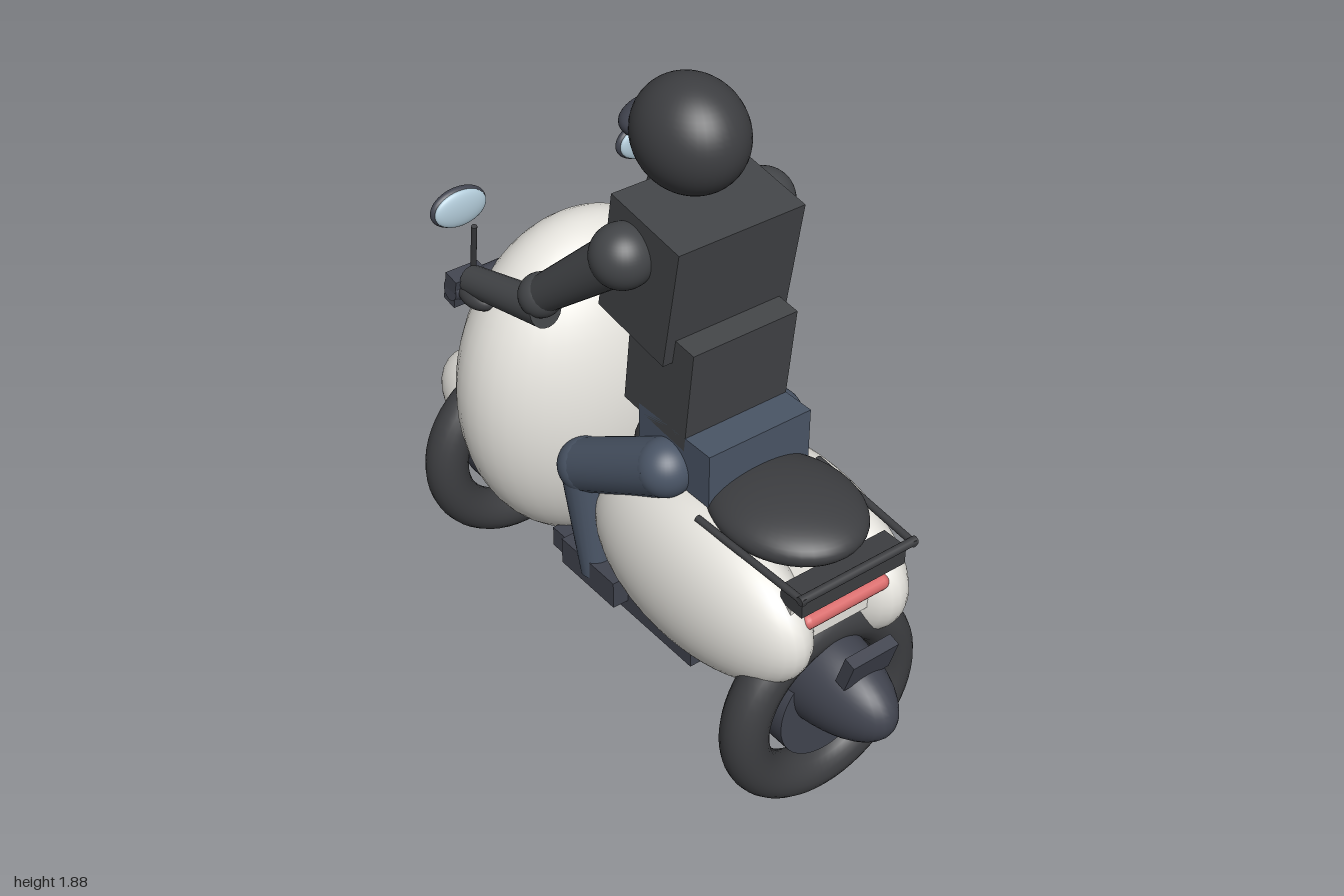
import * as THREE from 'three';

export function createModel() {
  const root = new THREE.Group();
  const mat = (color, side = THREE.FrontSide) => new THREE.MeshStandardMaterial({ color, side });
  const cream = mat(0xe6e4de), black = mat(0x3d3e41), steel = mat(0x41444f),
    denim = mat(0x4a5566), jacket = mat(0x434548), glass = mat(0xb4cddb), red = mat(0xd96b6b);

  const add = (name, geo, material, p, rotX = 0) => {
    const m = new THREE.Mesh(geo, material);
    m.name = name;
    m.position.set(...p);
    m.rotation.x = rotX;
    root.add(m);
    return m;
  };
  const blob = (name, material, p, r, rotX = 0) =>
    add(name, new THREE.SphereGeometry(1, 40, 28).scale(...r), material, p, rotX);
  const box = (name, material, p, s, rotX = 0) =>
    add(name, new THREE.BoxGeometry(...s), material, p, rotX);
  // Tapered rod between two points
  const rod = (name, material, a, b, ra, rb = ra) => {
    const A = new THREE.Vector3(...a), B = new THREE.Vector3(...b);
    const d = B.clone().sub(A);
    const m = add(name, new THREE.CylinderGeometry(rb, ra, d.length(), 20), material,
      A.clone().add(B).multiplyScalar(0.5).toArray());
    m.quaternion.setFromUnitVectors(new THREE.Vector3(0, 1, 0), d.normalize());
    return m;
  };

  // Wheels, turned across the body
  for (const [name, z] of [['rear', 0.725], ['front', -0.672]]) {
    add(name + 'Tire', new THREE.TorusGeometry(0.25, 0.065, 20, 56), black, [0, 0.315, z]);
    add(name + 'Hub', new THREE.CylinderGeometry(0.16, 0.16, 0.08, 40), steel, [0, 0.315, z], Math.PI / 2);
  }

  // Body shells
  blob('legShield', cream, [0, 0.785, -0.29], [0.397, 0.505, 0.28]);
  blob('shieldNose', cream, [0, 0.7, -0.42], [0.2, 0.3, 0.235]);
  blob('frontFender', cream, [0, 0.41, -0.69], [0.155, 0.155, 0.31]);
  blob('rearFender', steel, [0, 0.41, 0.69], [0.125, 0.15, 0.31]);
  box('tailPanel', cream, [0, 0.68, 0.62], [0.34, 0.13, 0.34]);
  box('floorboard', steel, [0, 0.345, 0.125], [0.4, 0.065, 0.63]);
  box('centreTunnel', steel, [0, 0.47, 0.1], [0.24, 0.2, 0.5]);

  // Seat, rack and tail
  blob('rearSeat', black, [0, 0.845, 0.57], [0.19, 0.075, 0.23]);
  blob('frontSeat', black, [0, 0.79, 0.32], [0.17, 0.11, 0.32]);
  box('rackPlate', black, [0, 0.775, 0.79], [0.34, 0.055, 0.08]);
  rod('rackCrossBar', black, [-0.19, 0.82, 0.84], [0.19, 0.82, 0.84], 0.012);
  const light = add('tailLight', new THREE.CapsuleGeometry(0.022, 0.24, 6, 16), red, [0, 0.692, 0.8]);
  light.rotation.z = Math.PI / 2;
  box('plateHolder', steel, [0, 0.555, 0.895], [0.15, 0.1, 0.035], 0.3);

  // Rider torso and head
  box('hips', denim, [0, 0.93, 0.315], [0.33, 0.16, 0.29]);
  box('abdomen', jacket, [0, 1.135, 0.25], [0.33, 0.31, 0.25], 0.11);
  box('chest', jacket, [0, 1.41, 0.205], [0.39, 0.355, 0.27], 0.17);
  rod('neck', black, [0, 1.54, 0.15], [0, 1.65, 0.12], 0.06);
  blob('helmet', black, [0, 1.733, 0.16], [0.14, 0.15, 0.165]);
  blob('visor', steel, [0, 1.73, 0.035], [0.11, 0.052, 0.075]);

  // Mirrored parts
  for (const s of [-1, 1]) {
    blob('sidePanel', cream, [s * 0.16, 0.61, 0.425], [0.15, 0.235, 0.415], -0.04);
    rod('fork', steel, [s * 0.09, 0.315, -0.63], [s * 0.09, 0.67, -0.68], 0.024);
    rod('rackSideBar', black, [s * 0.2, 0.835, 0.46], [s * 0.18, 0.818, 0.85], 0.01);

    // Steering
    rod('handlebar', steel, [s * 0.12, 1.1, -0.42], [s * 0.35, 1.12, -0.42], 0.05, 0.03);
    box('controlHousing', steel, [s * 0.3, 1.12, -0.42], [0.1, 0.09, 0.05], 0.2);
    rod('mirrorStalk', black, [s * 0.28, 1.16, -0.41], [s * 0.3, 1.33, -0.36], 0.008);
    blob('mirrorShell', steel, [s * 0.3, 1.355, -0.435], [0.085, 0.057, 0.026]);
    blob('mirrorGlass', glass, [s * 0.3, 1.355, -0.422], [0.079, 0.052, 0.017]);

    // Arm
    const shoulder = [s * 0.22, 1.48, 0.18], elbow = [s * 0.28, 1.25, -0.09], hand = [s * 0.295, 1.145, -0.39];
    blob('shoulder', jacket, shoulder, [0.085, 0.085, 0.085]);
    rod('upperArm', jacket, shoulder, elbow, 0.07, 0.05);
    blob('elbow', jacket, elbow, [0.06, 0.06, 0.06]);
    rod('forearm', jacket, [s * 0.28, 1.215, -0.07], hand, 0.05, 0.042);
    blob('hand', black, [s * 0.3, 1.118, -0.36], [0.045, 0.035, 0.07]);

    // Leg
    const hip = [s * 0.18, 0.89, 0.3], knee = [s * 0.21, 0.72, -0.01], ankle = [s * 0.21, 0.38, 0.035];
    blob('hipJoint', denim, hip, [0.08, 0.08, 0.08]);
    rod('thigh', denim, hip, knee, 0.08, 0.075);
    blob('knee', denim, knee, [0.077, 0.077, 0.077]);
    rod('shin', denim, knee, ankle, 0.07, 0.045);
    box('boot', steel, [s * 0.2, 0.395, 0.045], [0.1, 0.085, 0.24]);
  }
  return root;
}
